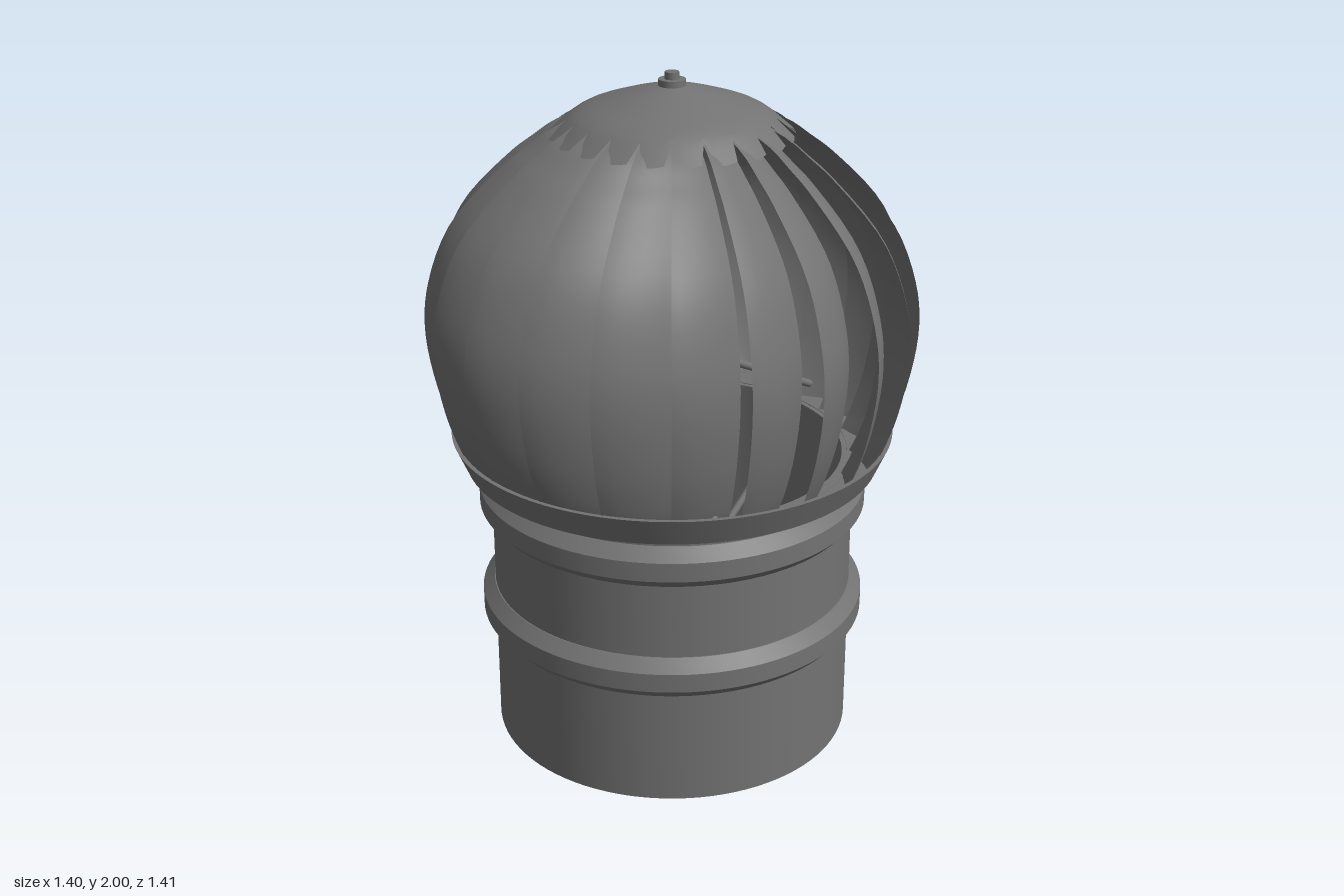
import * as THREE from 'three';
import { toCreasedNormals } from 'three/addons/utils/BufferGeometryUtils.js';

const BLADES = 21;
const STEP = (Math.PI * 2) / BLADES;
const material = new THREE.MeshStandardMaterial({ color: 0x737373, side: THREE.DoubleSide });

function addMesh(group, name, geometry) {
  const mesh = new THREE.Mesh(geometry, material);
  mesh.name = name;
  group.add(mesh);
  return mesh;
}

// Revolved profile with crisp edges
function lathe(points, segments = 96, start = 0, length = Math.PI * 2) {
  const profile = points.map(([r, y]) => new THREE.Vector2(r, y));
  return toCreasedNormals(new THREE.LatheGeometry(profile, segments, start, length), 0.4);
}

// Smooth grid surface from f(u, v) -> [x, y, z]
function surface(f, nu, nv) {
  const positions = [], index = [];
  for (let i = 0; i <= nu; i++) {
    for (let j = 0; j <= nv; j++) positions.push(...f(i / nu, j / nv));
  }
  for (let i = 0; i < nu; i++) {
    for (let j = 0; j < nv; j++) {
      const a = i * (nv + 1) + j, b = a + nv + 1;
      index.push(a, b, a + 1, b, b + 1, a + 1);
    }
  }
  const geometry = new THREE.BufferGeometry();
  geometry.setAttribute('position', new THREE.Float32BufferAttribute(positions, 3));
  geometry.setIndex(index);
  geometry.computeVertexNormals();
  return geometry;
}

const polar = (r, y, angle) => [r * Math.cos(angle), y, -r * Math.sin(angle)];

// Smooth radius/height profile
const profileCurve = (points) =>
  new THREE.CatmullRomCurve3(points.map(([r, y]) => new THREE.Vector3(r, y, 0)));

// Round rod between two points
function rod(group, name, from, to, radius) {
  const a = new THREE.Vector3(...from), b = new THREE.Vector3(...to);
  const mesh = addMesh(group, name, new THREE.CylinderGeometry(radius, radius, a.distanceTo(b), 12));
  mesh.position.copy(a).lerp(b, 0.5);
  mesh.quaternion.setFromUnitVectors(new THREE.Vector3(0, 1, 0), b.sub(a).normalize());
}

export function createModel() {
  const model = new THREE.Group();
  model.name = 'turbineVent';

  // Open duct
  addMesh(model, 'duct', lathe([
    [0.515, 0], [0.534, 0], [0.534, 0.88], [0.515, 0.88], [0.515, 0],
  ]));

  // Clamp bands with a fine split on the +x side
  for (const [name, y] of [['lowerBand', 0.352], ['upperBand', 0.702]]) {
    addMesh(model, name, lathe([
      [0.53, y], [0.545, y], [0.571, y + 0.028], [0.571, y + 0.085], [0.537, y + 0.12], [0.53, y + 0.12],
    ], 96, Math.PI / 2 + 0.002, Math.PI * 2 - 0.004));
  }

  // Flared collar under the blades
  addMesh(model, 'collar', lathe([
    [0.5, 0.866], [0.608, 0.866], [0.645, 0.952], [0.632, 0.952], [0.597, 0.878], [0.5, 0.878], [0.5, 0.866],
  ]));

  // Blades: radial outer edge, spiralling inwards to end beneath the next blade's edge
  const edge = profileCurve([
    [0.6, 0.885], [0.633, 0.95], [0.678, 1.08], [0.706, 1.26], [0.692, 1.4], [0.62, 1.58],
    [0.465, 1.747], [0.4, 1.798], [0.34, 1.842], [0.24, 1.888],
  ]);
  const blade = surface((u, v) => {
    const p = edge.getPoint(u);
    const inset = 0.135 * Math.pow(v, 1.2);
    return polar(p.x * (1 - inset), p.y - 0.01 * v, v * STEP);
  }, 40, 8);
  const blades = new THREE.Group();
  blades.name = 'blades';
  for (let i = 0; i < BLADES; i++) addMesh(blades, 'blade', blade).rotation.y = i * STEP;
  model.add(blades);

  // Domed cap, its rim notched to let every blade edge through
  const rim = [[-0.2, 0.338], [0, 0.285], [0.22, 0.343], [0.5, 0.343]];
  const domePoints = profileCurve([
    [0, 1.97], [0.09, 1.95], [0.18, 1.923], [0.265, 1.89], [0.345, 1.826],
  ]).getPoints(60);
  const domeHeight = (r) => {
    const k = Math.max(1, domePoints.findIndex((p) => p.x >= r));
    const a = domePoints[k - 1], b = domePoints[k];
    return THREE.MathUtils.mapLinear(r, a.x, b.x, a.y, b.y);
  };
  const sides = BLADES * rim.length;
  addMesh(model, 'cap', surface((u, v) => {
    const k = Math.round(u * sides);
    const [offset, radius] = rim[k % rim.length];
    const r = v <= 0.75 ? Math.max(0.001, 0.36 * v) : THREE.MathUtils.mapLinear(v, 0.75, 1, 0.27, radius);
    return polar(r, domeHeight(r), (Math.floor(k / rim.length) + offset) * STEP);
  }, sides, 16));

  // Washer and nut on the cap
  addMesh(model, 'topWasher', new THREE.CylinderGeometry(0.038, 0.038, 0.02, 32)).position.y = 1.97;
  addMesh(model, 'topNut', new THREE.CylinderGeometry(0.02, 0.02, 0.04, 24)).position.y = 1.98;

  // Central shaft with its lower hub and nut
  rod(model, 'shaft', [0, 0.25, 0], [0, 1.97, 0], 0.018);
  addMesh(model, 'hub', new THREE.CylinderGeometry(0.07, 0.07, 0.03, 32)).position.y = 0.31;
  addMesh(model, 'bottomNut', new THREE.CylinderGeometry(0.035, 0.035, 0.03, 6)).position.y = 0.28;

  // Braces from the shaft to the top of the duct and to the collar
  for (let i = 0; i < 3; i++) {
    const angle = (i * Math.PI * 2) / 3 + 0.5;
    rod(model, 'ductBrace', [0, 0.33, 0], polar(0.52, 0.82, angle), 0.012);
    rod(model, 'collarBrace', [0, 1.2, 0], polar(0.6, 0.9, angle), 0.012);
  }

  return model;
}
